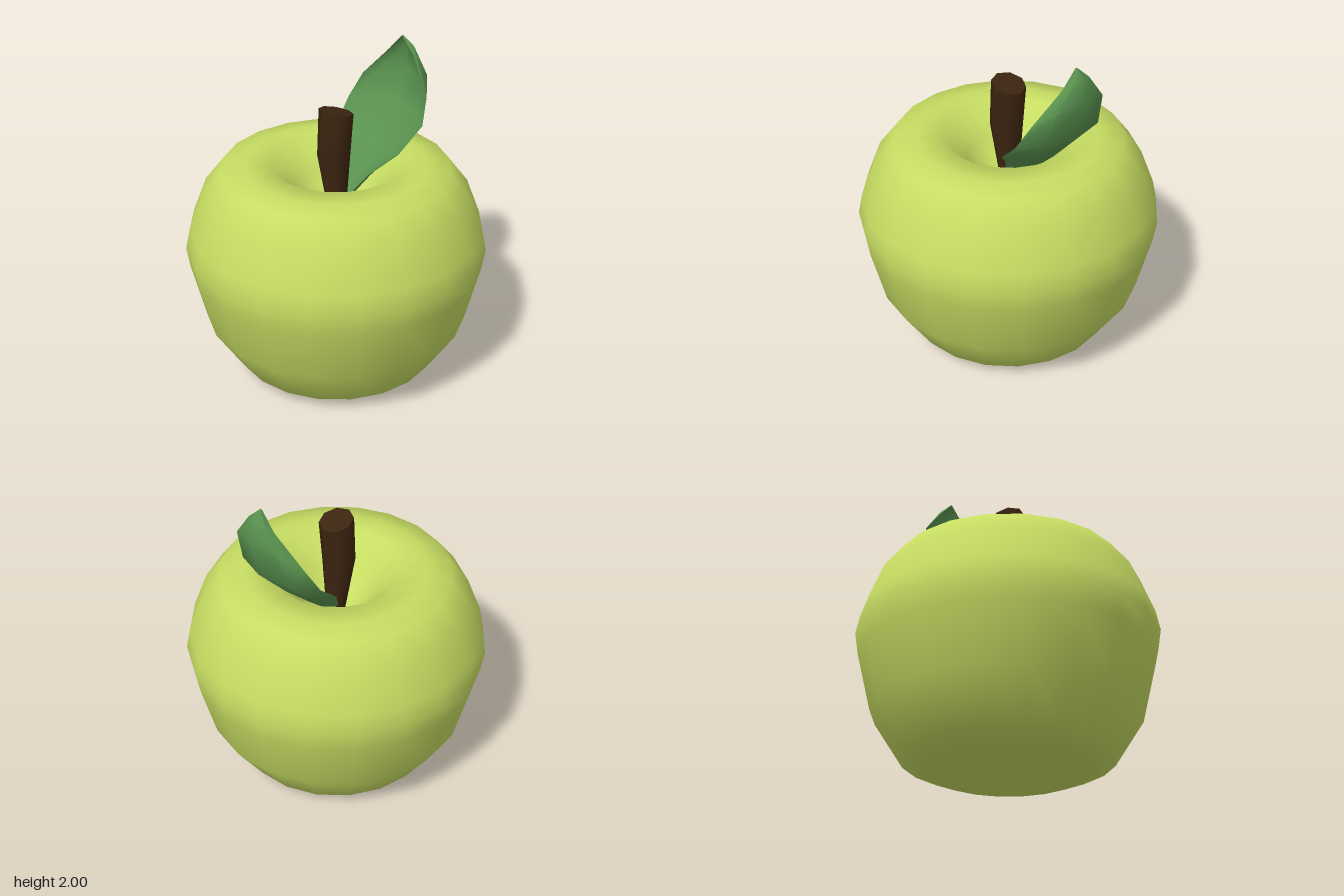
import * as THREE from 'three';
import { mergeVertices, toCreasedNormals } from 'three/addons/utils/BufferGeometryUtils.js';

// Skin closed rings of equal length (arrays of [x, y, z]) and cap both ends
function loft(rings, crease) {
  const n = rings[0].length;
  const pos = rings.flat(2);
  const index = [];
  for (let i = 0; i < rings.length - 1; i++) {
    for (let j = 0; j < n; j++) {
      const a = i * n + j, b = i * n + (j + 1) % n;
      index.push(a, a + n, b, b, a + n, b + n);
    }
  }
  const last = (rings.length - 1) * n;
  for (let j = 1; j < n - 1; j++) {
    index.push(0, j, j + 1);
    index.push(last, last + j + 1, last + j);
  }
  const g = new THREE.BufferGeometry();
  g.setAttribute('position', new THREE.Float32BufferAttribute(pos, 3));
  g.setIndex(index);
  return toCreasedNormals(mergeVertices(g), crease);
}

function material(name, color) {
  const m = new THREE.MeshStandardMaterial({ color });
  m.name = name;
  return m;
}

export function createModel() {
  const group = new THREE.Group();
  group.name = 'apple';

  const add = (name, geometry, mat) => {
    const mesh = new THREE.Mesh(geometry, mat);
    mesh.name = name;
    group.add(mesh);
  };

  // Fruit: a lathed profile with a dimple at the bottom and a hollow at the top
  const profile = [
    [0, 0.16], [0.12, 0.14], [0.27, 0.07], [0.46, 0], [0.63, 0.07], [0.81, 0.35],
    [0.895, 0.7], [0.915, 0.83], [0.89, 0.95], [0.805, 1.17], [0.69, 1.32],
    [0.55, 1.345], [0.4, 1.35], [0.25, 1.19], [0.12, 1.04], [0, 1.0],
  ].map(([r, y]) => new THREE.Vector2(r, y));
  add('fruit', new THREE.LatheGeometry(profile, 20), material('apple green', 0xc6dc62));

  // Stem: an eight-sided column, narrow at its foot, with a slanted top
  const stemRings = [
    // centre x, y, radius, slant
    [0.01, 0.98, 0.05, 0],
    [-0.02, 1.4, 0.098, 0],
    [0, 1.675, 0.102, -0.25],
  ].map(([cx, y, r, slant]) => Array.from({ length: 8 }, (_, j) => {
    const a = -j / 8 * Math.PI * 2;
    const x = r * Math.cos(a);
    return [cx + x, y + slant * x, -r * Math.sin(a)];
  }).reverse());
  add('stem', loft(stemRings.map(r => r.reverse()), 0.9), material('stem brown', 0x3c2410));

  // Leaf: cupped sections running from the hollow up to the pointed tip
  const leafRings = [
    // rib x, rib y, edge x, edge y, half width
    [0.05, 1.05, 0.02, 1.09, 0.04],
    [0.22, 1.2, 0.13, 1.26, 0.14],
    [0.39, 1.36, 0.25, 1.4, 0.27],
    [0.59, 1.58, 0.41, 1.55, 0.31],
    [0.635, 1.82, 0.49, 1.7, 0.265],
    [0.605, 1.955, 0.55, 1.89, 0.1],
    [0.555, 2.0, 0.55, 1.995, 0.004],
  ].map(([mx, my, ex, ey, w]) => [
    // across the section: width fraction, and blend from rib to edge
    [1, 1], [0.65, 0.3], [0, 0], [-0.65, 0.3],
    [-1, 1], [-0.6, 0.52], [0, 0.28], [0.6, 0.52],
  ].map(([f, t]) => [mx + (ex - mx) * t, my + (ey - my) * t, f * w]));
  const leafMaterial = material('leaf green', 0x59924f);
  leafMaterial.side = THREE.DoubleSide;
  add('leaf', loft(leafRings.map(r => r.reverse()), 1.1), leafMaterial);

  return group;
}
